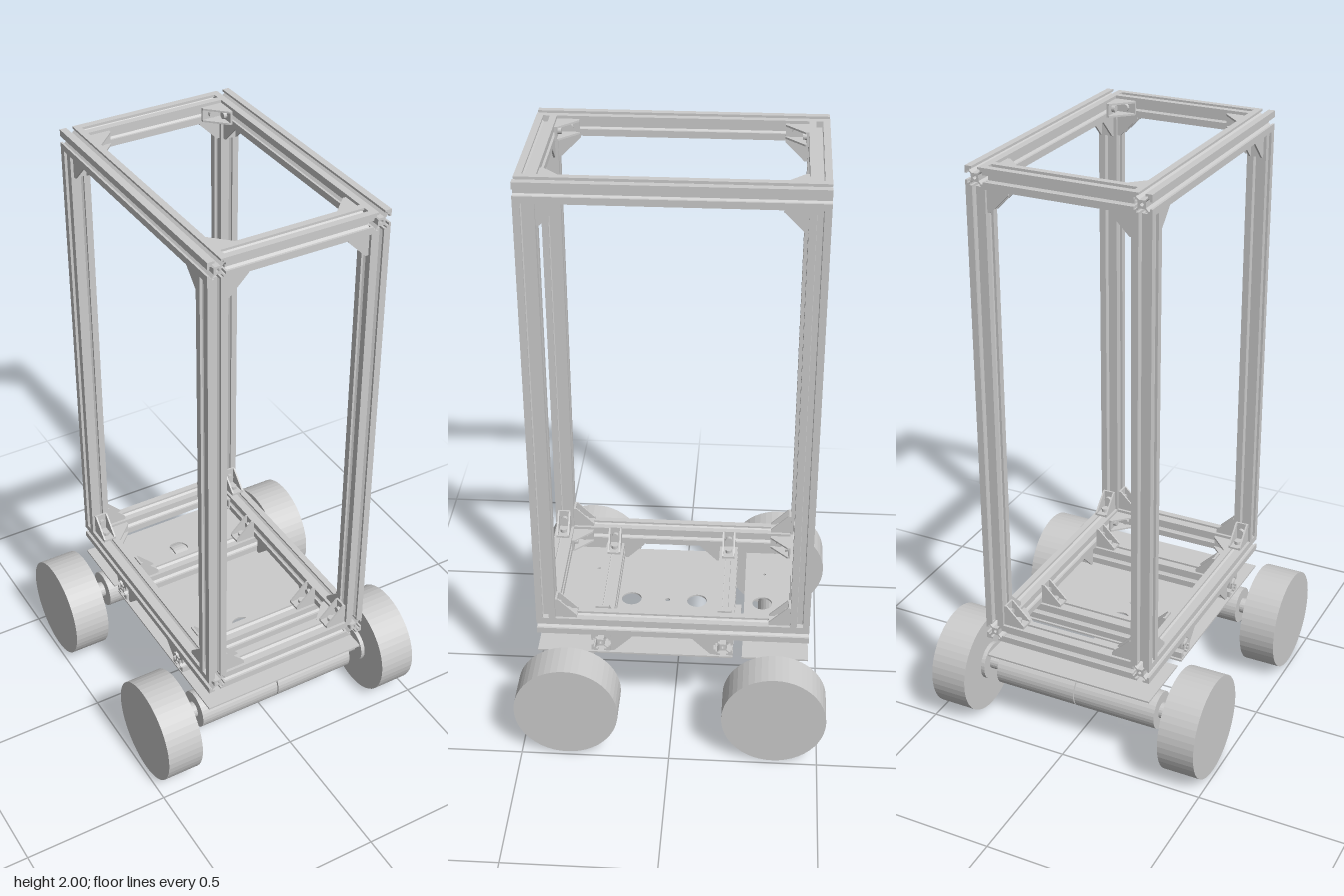
import * as THREE from 'three';

const mat = new THREE.MeshStandardMaterial({ color: 0xcccccc, flatShading: true });
const H = 0.0325; // half the rail width
const XI = 0.235, XC = 0.2675, ZI = 0.395, ZC = 0.4275;
const Y0 = 0.36, Y1 = 2.0;

function add(parent, name, geo, x = 0, y = 0, z = 0) {
  const m = new THREE.Mesh(geo, mat);
  m.name = name;
  m.position.set(x, y, z);
  parent.add(m);
  return m;
}

function circleHole(x, y, r) {
  return new THREE.Path().absarc(x, y, r, 0, Math.PI * 2, true);
}

// Slotted square rail section: one side repeated four times
function railShape() {
  const side = [[H, H], [0.0105, H], [0.0105, 0.0255], [0.018, 0.0255], [0.018, 0.0205], [0.009, 0.0125],
    [-0.009, 0.0125], [-0.018, 0.0205], [-0.018, 0.0255], [-0.0105, 0.0255], [-0.0105, H]];
  const pts = [];
  for (let k = 0; k < 4; k++) {
    for (const [x, y] of side) {
      pts.push(new THREE.Vector2(x, y).rotateAround(new THREE.Vector2(), k * Math.PI / 2));
    }
  }
  const s = new THREE.Shape(pts);
  s.holes.push(circleHole(0, 0, 0.006));
  return s;
}
const section = railShape();

function rail(parent, name, axis, len, x, y, z) {
  const g = new THREE.ExtrudeGeometry(section, { depth: len, bevelEnabled: false, curveSegments: 4 });
  g.translate(0, 0, -len / 2);
  if (axis === 'x') g.rotateY(Math.PI / 2);
  if (axis === 'y') g.rotateX(Math.PI / 2);
  add(parent, name, g, x, y, z);
}

// Corner bracket: two flanges, two triangular cheeks and two bolts
const L = 0.072, W = 0.046, T = 0.007;
const cheekShape = new THREE.Shape([[0, 0], [L, 0], [L, 0.01], [0.01, L], [0, L]].map(p => new THREE.Vector2(...p)));
const cheekGeo = new THREE.ExtrudeGeometry(cheekShape, { depth: 0.006, bevelEnabled: false });
const flangeX = new THREE.BoxGeometry(L, T, W - 0.012);
const flangeY = new THREE.BoxGeometry(T, L, W - 0.012);
const boltGeo = new THREE.CylinderGeometry(0.012, 0.012, 0.012, 12);

function bracket(parent, origin, dirA, dirB) {
  const g = new THREE.Group();
  g.name = 'cornerBracket';
  add(g, 'bracketFlange', flangeX, L / 2, T / 2, 0);
  add(g, 'bracketFlange', flangeY, T / 2, L / 2, 0);
  add(g, 'bracketCheek', cheekGeo, 0, 0, W / 2 - 0.006);
  add(g, 'bracketCheek', cheekGeo, 0, 0, -W / 2);
  add(g, 'bracketBolt', boltGeo, 0.04, T + 0.006, 0);
  add(g, 'bracketBolt', boltGeo, T + 0.006, 0.04, 0).rotation.z = Math.PI / 2;
  const a = new THREE.Vector3(...dirA), b = new THREE.Vector3(...dirB);
  g.setRotationFromMatrix(new THREE.Matrix4().makeBasis(a, b, a.clone().cross(b)));
  g.position.set(...origin);
  parent.add(g);
}

// Horizontal plate with round holes given as [x, z, radius]
function plate(parent, name, z0, z1, holes) {
  const w = 0.3;
  const s = new THREE.Shape([[-w, -z1], [w, -z1], [w, -z0], [-w, -z0]].map(p => new THREE.Vector2(...p)));
  for (const [x, z, r] of holes) s.holes.push(circleHole(x, -z, r));
  const g = new THREE.ExtrudeGeometry(s, { depth: 0.006, bevelEnabled: false, curveSegments: 20 });
  g.rotateX(-Math.PI / 2);
  add(parent, name, g, 0, 0.283, 0);
}

function axial(parent, name, r, x0, x1, y, z, seg) {
  const g = new THREE.CylinderGeometry(r, r, Math.abs(x1 - x0), seg);
  g.rotateZ(Math.PI / 2);
  add(parent, name, g, (x0 + x1) / 2, y, z);
}

export function createModel() {
  const model = new THREE.Group();
  model.name = 'wheeledFrame';

  // Upright box frame
  const frame = new THREE.Group();
  frame.name = 'frame';
  model.add(frame);
  for (const sx of [-1, 1]) {
    for (const sz of [-1, 1]) {
      rail(frame, 'uprightRail', 'y', Y1 - Y0 - 4 * H, sx * XC, (Y0 + Y1) / 2, sz * ZC);
    }
  }
  for (const top of [false, true]) {
    const y = top ? Y1 - H : Y0 + H;
    const yi = top ? Y1 - 2 * H : Y0 + 2 * H;
    const up = top ? -1 : 1;
    for (const s of [-1, 1]) {
      rail(frame, 'sideRail', 'z', 0.92, s * XC, y, 0);
      rail(frame, 'crossRail', 'x', 2 * XI, 0, y, s * ZC);
      // Three brackets in every corner
      for (const t of [-1, 1]) {
        bracket(frame, [s * XI, yi, t * ZC], [-s, 0, 0], [0, up, 0]);
        bracket(frame, [s * XC, yi, t * ZI], [0, up, 0], [0, 0, -t]);
        bracket(frame, [s * XI, y, t * ZI], [-s, 0, 0], [0, 0, -t]);
      }
    }
  }

  // Chassis beams under the frame, with their brackets
  const chassis = new THREE.Group();
  chassis.name = 'chassis';
  model.add(chassis);
  for (const [z, inward] of [[0.243, -1], [-0.172, 1]]) {
    rail(chassis, 'chassisBeam', 'x', 0.6, 0, Y0 - H, z);
    for (const s of [-1, 1]) {
      bracket(chassis, [s * XI, Y0, z], [-s, 0, 0], [0, 1, 0]);
      bracket(chassis, [s * XC, Y0, z + inward * H], [0, -1, 0], [0, 0, inward]);
    }
  }

  // Floor plates
  plate(chassis, 'mainPlate', -0.205, 0.46,
    [[0, 0.165, 0.035], [0, -0.068, 0.035], [0, 0.037, 0.009], [-0.17, 0.3, 0.005], [0.17, 0.3, 0.005]]);
  plate(chassis, 'rearPlate', -0.46, -0.236,
    [[0, -0.3, 0.035], [-0.17, -0.305, 0.005], [0.17, -0.305, 0.005]]);

  // Small unit hung under the plate, with a stub on its front
  add(chassis, 'underUnit', new THREE.BoxGeometry(0.115, 0.07, 0.095), 0, 0.2, -0.178);
  const stub = new THREE.CylinderGeometry(0.009, 0.009, 0.03, 12);
  stub.rotateX(Math.PI / 2);
  add(chassis, 'underUnitStub', stub, 0, 0.202, -0.118);

  // Motors and wheels
  for (const [z, end] of [[0.347, 'front'], [-0.35, 'rear']]) {
    for (const s of [-1, 1]) {
      const drive = new THREE.Group();
      drive.name = end + (s > 0 ? 'Left' : 'Right') + 'Drive';
      model.add(drive);
      axial(drive, 'motor', 0.0645, s * 0.002, s * 0.296, 0.181, z, 32);
      axial(drive, 'shaft', 0.027, s * 0.296, s * 0.346, 0.181, z, 20);
      axial(drive, 'hub', 0.065, s * 0.346, s * 0.362, 0.181, z, 32);
      axial(drive, 'wheel', 0.175, s * 0.36, s * 0.487, 0.1755, z, 48);
    }
  }
  return model;
}
